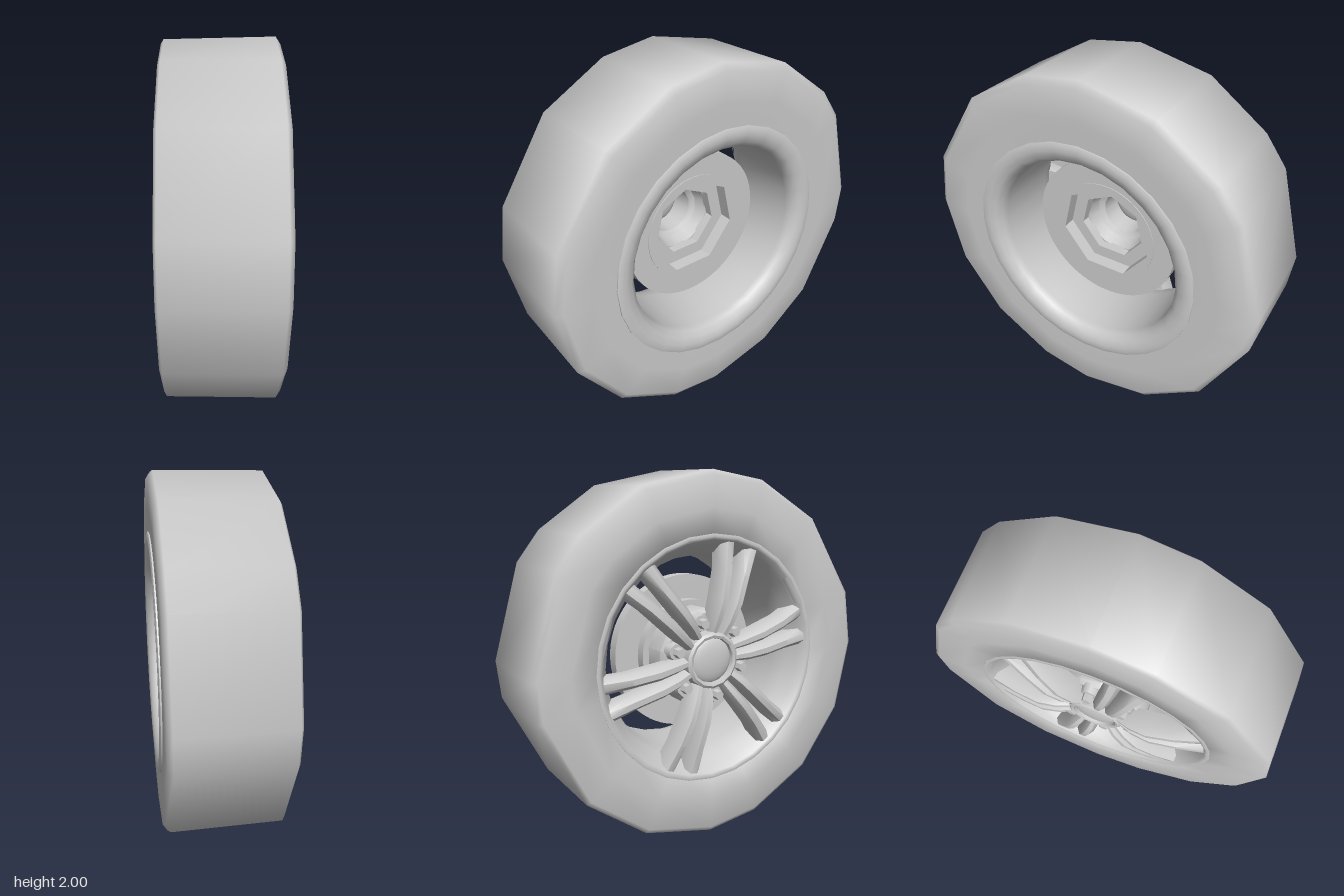
import * as THREE from 'three';
import { toCreasedNormals } from 'three/addons/utils/BufferGeometryUtils.js';

const grey = new THREE.MeshStandardMaterial({ color: 0xcccccc });
const rad = THREE.MathUtils.degToRad;
const evenAngles = (n) => Array.from({ length: n + 1 }, (_, i) => (360 * i) / n);

function part(parent, name, geometry) {
  const mesh = new THREE.Mesh(geometry, grey);
  mesh.name = name;
  parent.add(mesh);
  return mesh;
}

// Turns a profile of [x, radius] about the x axis, with a ring at each angle (0 = up, 90 = +z)
function turned(profile, angles, crease = 40) {
  const n = profile.length;
  const geo = new THREE.LatheGeometry(profile.map(([x, r]) => new THREE.Vector2(r, x)), angles.length - 1);
  const pos = geo.attributes.position;
  for (let v = 0; v < pos.count; v++) {
    const [x, r] = profile[v % n];
    const a = rad(angles[Math.floor(v / n)] % 360);
    pos.setXYZ(v, x, r * Math.cos(a), r * Math.sin(a));
  }
  return toCreasedNormals(geo, rad(crease));
}

// Round plate across the x axis with a polygonal hole
function plate(outer, hole, sides, x0, depth) {
  const shape = new THREE.Shape().absarc(0, 0, outer, 0, Math.PI * 2);
  const corners = Array.from({ length: sides }, (_, i) => {
    const a = Math.PI / 2 - (i * Math.PI * 2) / sides;
    return new THREE.Vector2(hole * Math.cos(a), hole * Math.sin(a));
  });
  shape.holes.push(new THREE.Path(corners));
  const geo = new THREE.ExtrudeGeometry(shape, { depth, bevelEnabled: false, curveSegments: 40 });
  geo.rotateY(Math.PI / 2).translate(x0, 0, 0);
  return toCreasedNormals(geo, rad(30));
}

// Spoke lofted outwards along +y from stations of [radius, side offset, half width, front x, back x]
function spoke(side) {
  const stations = [
    [0.13, 0.030, 0.026, -0.290, -0.20],
    [0.22, 0.040, 0.034, -0.322, -0.20],
    [0.33, 0.047, 0.038, -0.337, -0.20],
    [0.48, 0.058, 0.039, -0.318, -0.19],
    [0.64, 0.078, 0.048, -0.285, -0.16],
  ];
  const points = [], index = [], n = 6;
  for (const [r, c, w, f, b] of stations) {
    const section = [[b, -0.8], [f + 0.035, -1], [f, -0.4], [f, 0.4], [f + 0.035, 1], [b, 0.8]];
    for (const [x, k] of section) points.push(x, r, side * c + k * w);
  }
  for (let s = 0; s < stations.length - 1; s++) {
    for (let i = 0; i < n; i++) {
      const a = s * n + i, b = s * n + ((i + 1) % n);
      index.push(a, b, a + n, b, b + n, a + n);
    }
  }
  const last = (stations.length - 1) * n;
  for (let i = 1; i < n - 1; i++) {
    index.push(0, i + 1, i, last, last + i, last + i + 1);
  }
  const geo = new THREE.BufferGeometry();
  geo.setAttribute('position', new THREE.Float32BufferAttribute(points, 3));
  geo.setIndex(index);
  return toCreasedNormals(geo, rad(50));
}

export function createModel() {
  const wheel = new THREE.Group();
  wheel.name = 'wheel';
  wheel.position.y = 1;

  // Tyre with uneven low-poly facets
  const tyreAngles = [0, 18, 42, 66, 90, 108, 138, 162, 180, 204, 228, 258, 270, 301, 313, 336, 360]
    .map((a) => (a === 66 ? 72 : a === 108 ? 114 : a));
  part(wheel, 'tyre', turned([
    [-0.27, 0.64], [-0.297, 0.655], [-0.297, 0.80], [-0.295, 0.965], [-0.28, 0.99],
    [0.29, 1.002], [0.315, 0.965], [0.316, 0.80], [0.314, 0.65], [0.27, 0.64],
  ], tyreAngles, 65));

  // Rim: deep barrel with a rolled inner lip and a flared outer edge
  part(wheel, 'rim', turned([
    [-0.27, 0.672], [0.30, 0.672], [0.322, 0.672], [0.328, 0.655], [0.328, 0.625], [0.318, 0.585],
    [0.29, 0.556], [0.25, 0.548], [-0.10, 0.548], [-0.19, 0.575], [-0.25, 0.615],
    [-0.295, 0.64], [-0.302, 0.655], [-0.298, 0.67], [-0.27, 0.672],
  ], evenAngles(28), 50));

  // Brake disc with a seven-sided opening and a recessed hat
  part(wheel, 'brakeDisc', plate(0.435, 0.28, 7, 0.0, 0.07));
  part(wheel, 'discStep', plate(0.31, 0.28, 7, 0.0, 0.075));
  part(wheel, 'discHat', plate(0.30, 0.20, 7, -0.06, 0.06));

  // Hub: flange carrying the nuts, and the hollow centre
  part(wheel, 'hubFlange', turned([
    [-0.22, 0.14], [-0.22, 0.25], [-0.19, 0.27], [-0.05, 0.27], [-0.05, 0.19], [-0.22, 0.14],
  ], evenAngles(14)));
  part(wheel, 'hubRing', turned([
    [-0.30, 0.125], [-0.305, 0.14], [-0.295, 0.155], [-0.20, 0.165], [-0.12, 0.165],
    [-0.14, 0.135], [-0.27, 0.12], [-0.30, 0.125],
  ], evenAngles(14)));

  // Domed centre cap
  const cap = part(wheel, 'centreCap', new THREE.SphereGeometry(0.128, 20, 12));
  cap.scale.x = 0.28;
  cap.position.x = -0.268;

  // Six pairs of spokes, with a nut on a boss between neighbouring pairs
  const spokes = [spoke(-1), spoke(1)];
  const boss = new THREE.CylinderGeometry(0.045, 0.055, 0.05, 10).rotateZ(Math.PI / 2);
  const nut = toCreasedNormals(new THREE.CylinderGeometry(0.026, 0.032, 0.07, 6).rotateZ(Math.PI / 2), rad(30));
  for (let i = 0; i < 6; i++) {
    const pair = new THREE.Group();
    pair.name = 'spokePair';
    pair.rotation.x = rad(17 + 60 * i);
    for (const geo of spokes) part(pair, 'spoke', geo);
    wheel.add(pair);

    const fixing = new THREE.Group();
    fixing.name = 'wheelFixing';
    fixing.rotation.x = rad(47 + 60 * i);
    part(fixing, 'boss', boss).position.set(-0.23, 0.205, 0);
    part(fixing, 'nut', nut).position.set(-0.26, 0.205, 0);
    wheel.add(fixing);
  }

  const model = new THREE.Group();
  model.name = 'model';
  model.add(wheel);
  return model;
}
